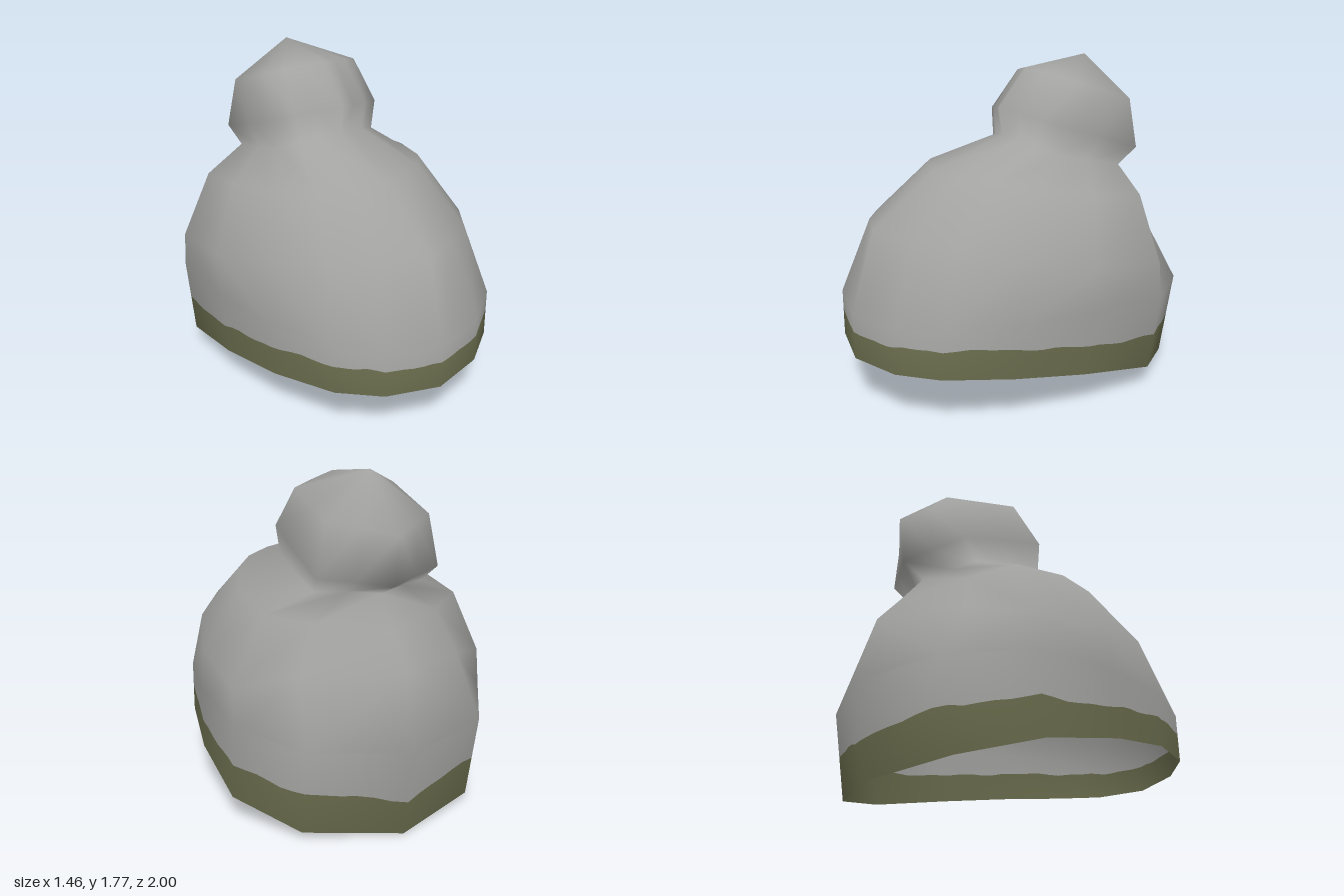
import * as THREE from 'three';

// Half outlines seen from above, front to back, as [x, z] factors
const OVAL = [[0, 1], [0.4, 0.92], [0.68, 0.76], [0.9, 0.41], [1, 0], [1, -0.48], [0.67, -0.83], [0, -1]];
const CROWN = [[0, 1], [0.3, 0.9], [0.58, 0.73], [0.83, 0.44], [1, 0], [1, -0.5], [0.63, -0.72], [0, -1]];
const HEX = [[0, 1], [0.32, 0.86], [0.65, 0.72], [0.97, 0.58], [1, 0], [1, -0.64], [0.5, -0.82], [0, -1]];
const TIP = [[0, 1], [0.33, 0.86], [0.67, 0.72], [1, 0.58], [1, 0], [1, -0.42], [0.5, -0.71], [0, -1]];
const N = 14;

// Tilted cross-sections: front and back points [z, y], half width, lift of the sides and its skew to the front
const RINGS = [
  { plan: OVAL, front: [1, 0.315], back: [-0.91, 0.003], w: 0.72, bow: 0.075, skew: 0.7 },
  { plan: OVAL, front: [1, 0.57], back: [-1, 0.48], w: 0.728, bow: 0.05, skew: 0.5 },
  { plan: CROWN, front: [0.86, 0.99], back: [-0.9, 0.85], w: 0.723, bow: -0.11, skew: -0.6 },
  { plan: CROWN, front: [0.5, 1.25], back: [-0.77, 1.01], w: 0.555, bow: 0.01, skew: -1 },
  { plan: HEX, front: [0.06, 1.38], back: [-0.64, 1.18], w: 0.31, bow: -0.03, skew: 0.3 },
  { plan: HEX, front: [0.08, 1.53], back: [-0.77, 1.24], w: 0.34, bow: -0.01, skew: 0 },
  { plan: TIP, front: [-0.1, 1.73], back: [-0.81, 1.49], w: 0.285, bow: -0.01, skew: 0 },
];

// Height of the trim's upper edge for each column, as a share of the lowest row
const TRIM = [0.56, 0.58, 0.6, 0.55, 0.45, 0.46, 0.49, 0.42];

const half = (j) => (j < 8 ? j : N - j);

function ringPoint(r, j) {
  const [u, v] = r.plan[half(j)];
  const t = (v + 1) / 2;
  return [
    (j < 8 ? u : -u) * r.w,
    THREE.MathUtils.lerp(r.back[1], r.front[1], t) + r.bow * u * u * (1 + r.skew * v),
    THREE.MathUtils.lerp(r.back[0], r.front[0], t),
  ];
}

// Faces between rings from..to
function rows(from, to) {
  const index = [];
  for (let i = from; i < to; i++) {
    for (let j = 0; j < N; j++) {
      const a = i * N + j, b = i * N + (j + 1) % N;
      // mirrored diagonals keep both sides alike
      if (j < N / 2) index.push(a, b, b + N, a, b + N, a + N);
      else index.push(a, b, a + N, b, b + N, a + N);
    }
  }
  return index;
}

export function createModel() {
  const wool = new THREE.MeshStandardMaterial({ color: 0xa2a2a0, side: THREE.DoubleSide });
  wool.name = 'grey wool';
  const olive = new THREE.MeshStandardMaterial({ color: 0x686b4c, side: THREE.DoubleSide });
  olive.name = 'olive trim';

  // Whole surface with shared smooth normals
  const positions = [];
  RINGS.forEach((r) => {
    for (let j = 0; j < N; j++) positions.push(...ringPoint(r, j));
  });
  positions.push(0, 1.773, -0.51);
  const top = RINGS.length - 1, apex = RINGS.length * N;
  const cap = [];
  for (let j = 0; j < N; j++) cap.push(top * N + j, top * N + (j + 1) % N, apex);

  const surface = new THREE.BufferGeometry();
  surface.setAttribute('position', new THREE.Float32BufferAttribute(positions, 3));
  surface.setIndex([...rows(0, top), ...cap]);
  surface.computeVertexNormals();

  const group = new THREE.Group();
  group.name = 'bobbleHat';
  function add(name, geometry, material) {
    const mesh = new THREE.Mesh(geometry, material);
    mesh.name = name;
    group.add(mesh);
  }
  function part(name, index) {
    const g = surface.clone();
    g.setIndex(index);
    add(name, g, wool);
  }
  part('crown', rows(1, 4));
  part('bobble', [...rows(4, top), ...cap]);

  // The lowest row is split along a ragged line into trim and wool
  const SUB = 6;
  const sample = (attr, j, s, t) => {
    const get = (k) => new THREE.Vector3().fromBufferAttribute(surface.attributes[attr], k);
    const k = (j + 1) % N;
    return get(j).lerp(get(k), s).lerp(get(N + j).lerp(get(N + k), s), t);
  };
  const edge = (j, s) => {
    const a = ((j + s) / N) * Math.PI * 2;
    const level = THREE.MathUtils.lerp(TRIM[half(j)], TRIM[half((j + 1) % N)], s);
    return level + 0.018 * Math.cos(a * 11) + 0.012 * Math.cos(a * 23 + 1);
  };
  function strip(name, low, high, material) {
    const pos = [], nor = [], index = [];
    for (let k = 0; k <= N * SUB; k++) {
      const m = k % (N * SUB), j = Math.floor(m / SUB), s = (m % SUB) / SUB;
      for (const t of [low(j, s), high(j, s)]) {
        pos.push(...sample('position', j, s, t).toArray());
        nor.push(...sample('normal', j, s, t).normalize().toArray());
      }
      if (k < N * SUB) {
        const a = k * 2;
        index.push(a, a + 2, a + 3, a, a + 3, a + 1);
      }
    }
    const g = new THREE.BufferGeometry();
    g.setAttribute('position', new THREE.Float32BufferAttribute(pos, 3));
    g.setAttribute('normal', new THREE.Float32BufferAttribute(nor, 3));
    g.setIndex(index);
    add(name, g, material);
  }
  strip('trimBand', () => 0, edge, olive);
  strip('lowerCrown', edge, () => 1, wool);

  return group;
}
